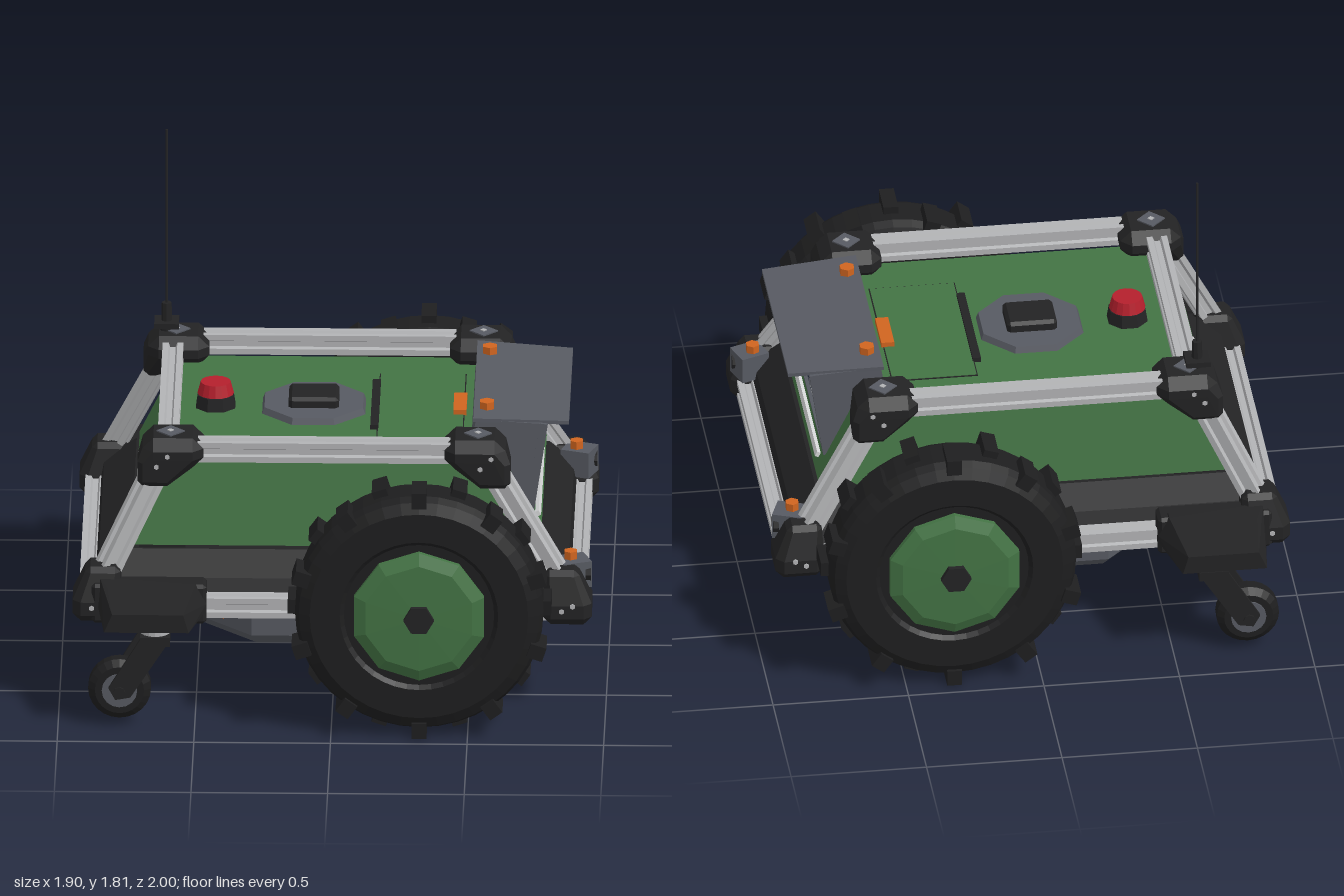
import * as THREE from 'three';
import { ConvexGeometry } from 'three/addons/geometries/ConvexGeometry.js';

const mat = (name, color) => {
  const m = new THREE.MeshStandardMaterial({ color, flatShading: true });
  m.name = name;
  return m;
};
const V = (x, y, z) => new THREE.Vector3(x, y, z);
const SIDES = [1, -1];

export function createModel() {
  const black = mat('black plastic', 0x232324);
  const rubber = mat('rubber', 0x1e1e1f);
  const green = mat('green paint', 0x437344);
  const slate = mat('slate grey', 0x575a62);
  const metal = mat('aluminium', 0xb2b3b5);
  const light = mat('light strip', 0xd6d7d8);
  const orange = mat('orange', 0xd0651f);
  const red = mat('red', 0xb41f2c);
  const navy = mat('screen navy', 0x2b354a);
  const charcoal = mat('charcoal', 0x42454b);

  const root = new THREE.Group();
  const add = (name, geo, material, pos = [0, 0, 0], parent = root) => {
    const m = new THREE.Mesh(geo, material);
    m.name = name;
    m.position.set(...pos);
    parent.add(m);
    return m;
  };
  const box = (name, material, size, pos, parent) => add(name, new THREE.BoxGeometry(...size), material, pos, parent);
  const cyl = (name, material, r0, r1, h, n, pos, parent) =>
    add(name, new THREE.CylinderGeometry(r0, r1, h, n), material, pos, parent);
  const hull = (name, material, pts) => add(name, new ConvexGeometry(pts), material);
  const lathe = (pts, n, start = 0) => new THREE.LatheGeometry(pts.map(p => new THREE.Vector2(...p)), n, start);

  // corner points of a box with chamfered edges
  const chamfered = (x, y, z, a, b, c, k) => {
    const pts = [];
    for (const i of SIDES) for (const j of SIDES) for (const l of SIDES) {
      pts.push(V(x + i * a, y + j * (b - k), z + l * (c - k)));
      pts.push(V(x + i * (a - k), y + j * b, z + l * (c - k)));
      pts.push(V(x + i * (a - k), y + j * (b - k), z + l * c));
    }
    return pts;
  };
  // four corners of a level rectangle
  const level = (y, x0, x1, z) => [V(x0, y, z), V(x1, y, z), V(x0, y, -z), V(x1, y, -z)];

  // slotted square rail between two points
  const h = 0.038;
  const profile = [];
  for (let i = 0; i < 4; i++) {
    for (const [x, y] of [[-h, -h], [-0.016, -h], [-0.01, -0.026], [0.01, -0.026], [0.016, -h]]) {
      profile.push(new THREE.Vector2(x, y).rotateAround(new THREE.Vector2(), i * Math.PI / 2));
    }
  }
  const railShape = new THREE.Shape(profile);
  const rail = (name, a, b) => {
    const geo = new THREE.ExtrudeGeometry(railShape, { depth: a.distanceTo(b), bevelEnabled: false });
    add(name, geo, metal, a.toArray()).lookAt(b);
  };

  // body shell and chassis
  hull('bodyShell', green, [...level(0.605, -0.73, 0.76, 0.565), ...level(0.932, -0.58, 0.6, 0.495)]);
  hull('chassis', black, [...level(0.44, -0.87, 0.87, 0.62), ...level(0.49, -0.86, 0.86, 0.6),
    ...level(0.585, -0.74, 0.77, 0.55)]);
  box('chassisSpacer', black, [0.7, 0.03, 0.8], [0.25, 0.595, 0]);
  box('rearSpacer', black, [0.17, 0.03, 1.08], [-0.625, 0.595, 0]);

  // octagonal mower deck, hollow below, with its cutting disc
  add('deck', lathe([[0, 0.25], [0.47, 0.25], [0.5, 0.205], [0.555, 0.205], [0.595, 0.245], [0.595, 0.45], [0, 0.45]],
    8, Math.PI / 8), slate, [-0.07, 0, 0]);
  cyl('cuttingDiscRim', black, 0.352, 0.352, 0.02, 32, [-0.07, 0.245, 0]);
  cyl('cuttingDisc', charcoal, 0.345, 0.345, 0.02, 32, [-0.07, 0.24, 0]);
  // deck lights on the front face and both rear corner faces
  for (const a of [0, 0.75 * Math.PI, -0.75 * Math.PI]) {
    box('deckLight', orange, [0.012, 0.042, 0.175],
      [-0.07 + Math.cos(a) * 0.553, 0.295, -Math.sin(a) * 0.553]).rotation.y = a;
  }

  // lower frame across, upper rear rail
  for (const x of [-0.89, 0.89]) rail('lowerCrossRail', V(x, 0.405, -0.65), V(x, 0.405, 0.65));
  rail('upperRearRail', V(-0.605, 0.973, -0.53), V(-0.605, 0.973, 0.53));

  for (const t of SIDES) {
    // long rails
    rail('lowerSideRail', V(-0.87, 0.405, 0.65 * t), V(0.87, 0.405, 0.65 * t));
    rail('upperSideRail', V(-0.6, 0.973, 0.538 * t), V(0.53, 0.973, 0.538 * t));

    for (const s of SIDES) {
      const cx = s > 0 ? 0.53 : -0.595;
      // sloping post with its two corner joints
      rail('cornerPost', V(0.86 * s, 0.46, 0.635 * t), V(cx + 0.02 * s, 0.96, 0.525 * t));
      hull('upperJoint', black, [
        ...chamfered(cx - 0.01 * s, 0.972, 0.508 * t, 0.112, 0.057, 0.108, 0.04),
        ...chamfered(cx + 0.055 * s, 0.905, 0.55 * t, 0.065, 0.057, 0.063, 0.02)]);
      hull('lowerJoint', black, [
        ...chamfered(0.86 * s, 0.41, 0.625 * t, 0.09, 0.056, 0.095, 0.03),
        ...chamfered(0.84 * s, 0.515, 0.62 * t, 0.065, 0.042, 0.065, 0.02)]);
      // bolt plates
      cyl('jointPlate', slate, 0.052, 0.052, 0.008, 4, [cx, 1.03, 0.51 * t]);
      cyl('jointBolt', metal, 0.013, 0.013, 0.012, 4, [cx, 1.031, 0.51 * t]);
      for (const k of [-0.02, 0.02]) {
        cyl('upperBolt', metal, 0.01, 0.01, 0.012, 6, [cx + 0.03 * s + k, 0.95 + k, 0.612 * t]).rotation.x = Math.PI / 2;
        cyl('lowerBolt', metal, 0.01, 0.01, 0.012, 6, [0.86 * s + k, 0.425 + k / 2, 0.72 * t]).rotation.x = Math.PI / 2;
      }
    }

    // front light brackets
    box('lightBracket', slate, [0.11, 0.1, 0.1], [0.88, 0.51, 0.555 * t]).rotation.y = 0.35 * t;
    cyl('bracketBolt', black, 0.03, 0.03, 0.02, 8, [0.935, 0.51, 0.57 * t]).rotation.z = Math.PI / 2;
    cyl('cornerLight', orange, 0.026, 0.026, 0.03, 6, [0.87, 0.575, 0.55 * t]);
    cyl('hoodLight', orange, 0.029, 0.029, 0.035, 6, [0.558, 1.05, 0.275 * t]);

    // drive wheel, built facing +z and turned for the other side
    const wheel = new THREE.Group();
    wheel.name = 'driveWheel';
    wheel.position.set(0.323, 0.483, 0);
    wheel.rotation.y = t > 0 ? 0 : Math.PI;
    root.add(wheel);
    const turned = (name, material, pts, n) =>
      add(name, lathe(pts, n).rotateX(Math.PI / 2), material, [0, 0, 0], wheel);
    turned('tyre', rubber, [[0, 0.75], [0.27, 0.75], [0.29, 0.735], [0.4, 0.735], [0.44, 0.75], [0.455, 0.78],
      [0.455, 0.9], [0.44, 0.93], [0.4, 0.95], [0.29, 0.95], [0.275, 0.935], [0, 0.935]], 40);
    turned('hubCap', green, [[0.25, 0.93], [0.25, 0.955], [0.205, 0.975], [0, 0.982]], 10);
    const nut = cyl('hubNut', black, 0.056, 0.056, 0.06, 6, [0, 0, 0.97], wheel);
    nut.rotation.set(Math.PI / 2, Math.PI / 6, 0);
    const motor = cyl('wheelMotor', black, 0.152, 0.152, 0.14, 8, [0, 0, 0.675], wheel);
    motor.rotation.set(Math.PI / 2, Math.PI / 8, 0);
    for (let i = 0; i < 20; i++) {
      const a = i * Math.PI / 10, outer = i % 2 === 1;
      const lug = box('tyreLug', rubber, [0.06, 0.055, 0.13],
        [Math.cos(a) * 0.452, Math.sin(a) * 0.452, outer ? 0.887 : 0.798], wheel);
      lug.rotation.z = a;
    }

    // caster bracket: a foot on the frame and a wing over the caster
    hull('casterFoot', black, chamfered(-0.67, 0.43, 0.67 * t, 0.21, 0.076, 0.05, 0.012));
    hull('casterWing', black, [
      V(-0.86, 0.42, 0.68 * t), V(-0.46, 0.42, 0.68 * t), V(-0.85, 0.52, 0.68 * t), V(-0.5, 0.51, 0.68 * t),
      V(-0.85, 0.41, 0.74 * t), V(-0.46, 0.41, 0.72 * t), V(-0.46, 0.435, 0.72 * t),
      V(-0.82, 0.51, 0.76 * t), V(-0.5, 0.51, 0.72 * t), V(-0.83, 0.41, 0.95 * t), V(-0.52, 0.41, 0.95 * t),
      V(-0.8, 0.48, 0.95 * t), V(-0.54, 0.48, 0.95 * t)]);
    cyl('casterPivot', metal, 0.055, 0.055, 0.05, 16, [-0.645, 0.385, 0.81 * t]);
    box('casterYoke', black, [0.11, 0.035, 0.13], [-0.645, 0.343, 0.81 * t]);
    for (const k of SIDES) {
      hull('casterFork', black, [-0.008, 0.008].flatMap(d =>
        [[-0.7, 0.35], [-0.59, 0.35], [-0.735, 0.125], [-0.79, 0.115], [-0.815, 0.16]]
          .map(([x, y]) => V(x, y, (0.81 + k * 0.056) * t + d))));
    }
    const across = m => { m.rotation.x = Math.PI / 2; };
    const tread = lathe([[0, -0.042], [0.09, -0.042], [0.115, -0.022], [0.115, 0.022], [0.09, 0.042], [0, 0.042]], 24);
    across(add('casterTyre', tread, rubber, [-0.775, 0.145, 0.81 * t]));
    across(cyl('casterHub', slate, 0.065, 0.065, 0.096, 16, [-0.775, 0.145, 0.81 * t]));
    across(cyl('casterAxle', black, 0.022, 0.022, 0.14, 8, [-0.775, 0.145, 0.81 * t]));
  }

  // screen housing with an overhanging visor
  hull('screenHousing', slate, [[0.5, 0.92], [0.52, 1.035], [0.76, 1.02], [0.71, 0.68], [0.6, 0.68]]
    .flatMap(([x, y]) => [V(x, y, 0.383), V(x, y, -0.383)]));
  hull('visor', slate, [1.028, 1.042].flatMap(y => SIDES.flatMap(t =>
    [V(0.51, y, 0.39 * t), V(0.86, y - 0.017, 0.365 * t)])));
  const face = new THREE.Group();
  face.name = 'screenFace';
  face.position.set(0.735, 0.85, 0);
  face.rotation.z = -Math.atan(0.05 / 0.34);
  root.add(face);
  box('screenSurround', black, [0.008, 0.315, 0.7], [0.002, 0, 0], face);
  box('screen', navy, [0.008, 0.285, 0.665], [0.006, -0.005, 0], face);
  for (const t of SIDES) {
    box('bezelSide', slate, [0.03, 0.345, 0.034], [0.008, 0, 0.367 * t], face);
    box('bezelBar', slate, [0.03, 0.018, 0.76], [0.008, 0.162 * t, 0], face);
  }
  box('buttonPanel', black, [0.008, 0.11, 0.125], [0.01, 0.06, -0.23], face);
  for (const y of SIDES) for (const z of SIDES) {
    const b = cyl('button', y < 0 && z < 0 ? light : slate, 0.019, 0.019, 0.012, 8,
      [0.014, 0.06 + y * 0.028, -0.23 + z * 0.03], face);
    b.rotation.z = Math.PI / 2;
  }

  // light strips on the front and rear slopes
  box('frontStrip', light, [0.02, 0.02, 0.67], [0.744, 0.648, 0]).rotation.z = 0.45;
  box('rearStrip', light, [0.02, 0.02, 0.55], [-0.716, 0.648, 0]).rotation.z = -0.43;

  // fittings on the top deck
  box('hatchSeam', black, [0.318, 0.004, 0.645], [0.313, 0.933, 0]);
  box('hatch', green, [0.31, 0.006, 0.637], [0.313, 0.934, 0]);
  box('hatchHinge', black, [0.03, 0.02, 0.455], [0.145, 0.94, 0]);
  box('topLight', orange, [0.048, 0.02, 0.175], [0.455, 0.945, 0]);
  cyl('sensorBase', slate, 0.195, 0.205, 0.025, 8, [-0.08, 0.943, 0]).rotation.y = Math.PI / 8;
  hull('sensor', black, chamfered(-0.08, 0.968, 0, 0.092, 0.026, 0.08, 0.012));
  cyl('stopButtonBase', black, 0.07, 0.078, 0.05, 8, [-0.44, 0.955, 0]).rotation.y = Math.PI / 8;
  cyl('stopButton', red, 0.055, 0.067, 0.045, 16, [-0.44, 1.005, 0]);

  // antenna
  cyl('antennaFoot', black, 0.025, 0.025, 0.04, 8, [-0.63, 1.035, -0.51]);
  box('antennaFlange', black, [0.09, 0.02, 0.09], [-0.63, 1.056, -0.51]);
  cyl('antennaNeck', black, 0.018, 0.02, 0.07, 8, [-0.63, 1.1, -0.51]);
  cyl('antennaRod', black, 0.005, 0.005, 0.7, 6, [-0.63, 1.465, -0.51]);

  return root;
}
